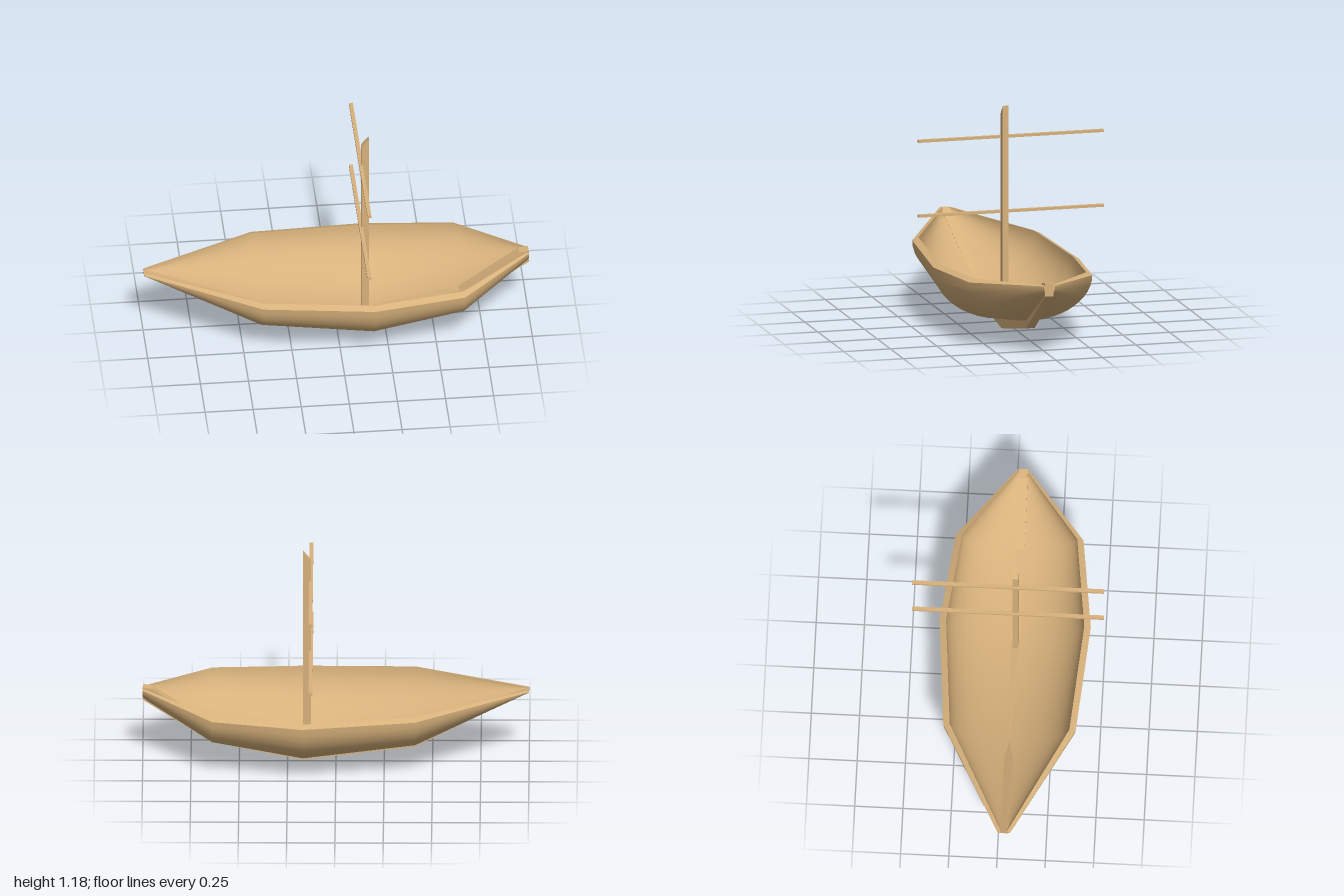
import * as THREE from 'three';

const CZ = 0.035; // hull centre line

// Stations from bow to stern: x, then half width, rim height and floor height of each skin
const STATIONS = [
  { x: -1.0, out: [0.033, 0.398, 0.388], inn: [0.012, 0.4, 0.396] },
  { x: -0.41, out: [0.343, 0.366, 0.125], inn: [0.31, 0.381, 0.158] },
  { x: 0.17, out: [0.392, 0.346, 0.053], inn: [0.358, 0.361, 0.084] },
  { x: 0.64, out: [0.331, 0.361, 0.14], inn: [0.298, 0.379, 0.173] },
  { x: 1.0, out: [0.03, 0.398, 0.345], inn: [0.014, 0.402, 0.375] },
];

// Half-ellipse section running from the +z rim to the -z rim
function section(x, [w, rim, floor], n = 24) {
  return Array.from({ length: n + 1 }, (_, i) => {
    const t = (i / n) * Math.PI;
    return [x, rim - (rim - floor) * Math.sin(t), CZ + w * Math.cos(t)];
  });
}

// Skin over rows of points
function loft(rows, flip) {
  const n = rows[0].length;
  const index = [];
  for (let r = 0; r < rows.length - 1; r++) {
    for (let i = 0; i < n - 1; i++) {
      const a = r * n + i, b = a + n, c = b + 1, d = a + 1;
      if (flip) index.push(a, d, b, b, d, c);
      else index.push(a, b, d, b, c, d);
    }
  }
  const g = new THREE.BufferGeometry();
  g.setAttribute('position', new THREE.Float32BufferAttribute(rows.flat(2), 3));
  g.setIndex(index);
  g.computeVertexNormals();
  return g;
}

// Side profile in x and y given thickness in z
function plank(points, width) {
  const shape = new THREE.Shape(points.map(([x, y]) => new THREE.Vector2(x, y)));
  const g = new THREE.ExtrudeGeometry(shape, { depth: width, bevelEnabled: false });
  return g.translate(0, 0, -width / 2);
}

export function createModel() {
  const model = new THREE.Group();
  model.name = 'boat';
  const wood = new THREE.MeshStandardMaterial({ color: 0xd8b27c });
  wood.name = 'wood';

  const add = (name, geometry, x = 0, y = 0, z = 0) => {
    const mesh = new THREE.Mesh(geometry, wood);
    mesh.name = name;
    mesh.position.set(x, y, z);
    model.add(mesh);
  };

  // Hull skins
  const outer = STATIONS.map((s) => section(s.x, s.out));
  const inner = STATIONS.map((s) => section(s.x, s.inn));
  add('hullOutside', loft(outer, true));
  add('hullInside', loft(inner, false));

  // Rims and closed ends joining the skins
  const last = outer[0].length - 1;
  const end = STATIONS.length - 1;
  add('leftRim', loft(outer.map((row, i) => [row[0], inner[i][0]]), false).toNonIndexed());
  add('rightRim', loft(outer.map((row, i) => [inner[i][last], row[last]]), false).toNonIndexed());
  add('bowEnd', loft([outer[0], inner[0]], false));
  add('sternEnd', loft([outer[end], inner[end]], true));

  // Keel following the floor, rising to a stern post
  add('keel', plank([
    [-1, 0.397], [-0.41, 0.08], [0.17, 0.003], [0.64, 0.1], [1, 0.343],
    [1, 0.412], [0.95, 0.405], [0.64, 0.182], [0.17, 0.085], [-0.41, 0.158], [-1, 0.402],
  ], 0.046), 0, 0, 0.037);

  // Mast with slanted top
  add('mast', plank([[0.13, 0.07], [0.17, 0.07], [0.17, 1.18], [0.13, 1.13]], 0.031), 0, 0, 0.039);

  // Two yards
  for (const [name, y] of [['lowerYard', 0.614], ['upperYard', 1.01]]) {
    add(name, new THREE.BoxGeometry(0.02, 0.014, 0.996), 0.129, y, 0);
  }
  return model;
}
